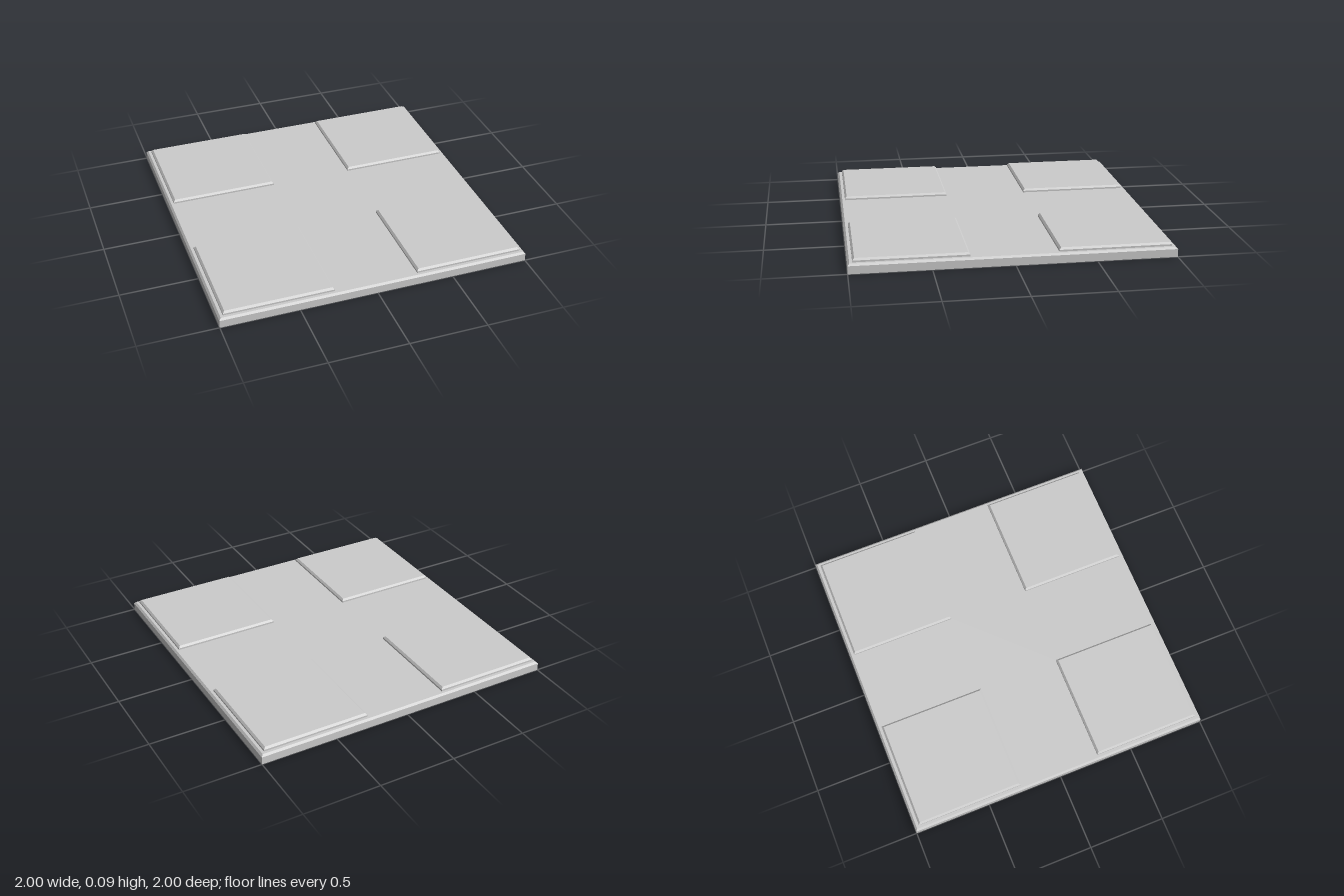
import * as THREE from 'three';

const material = new THREE.MeshStandardMaterial({ color: 0xcccccc, flatShading: true });

// Square slab standing on y = 0 whose top edges are chamfered
function chamferedSlab(name, size, height, inset, drop) {
  const geometry = new THREE.BoxGeometry(size, height, size, 1, 2, 1);
  const p = geometry.attributes.position;
  const shrink = (size - 2 * inset) / size;
  for (let i = 0; i < p.count; i++) {
    const y = p.getY(i);
    if (y > height / 4) {
      p.setXYZ(i, p.getX(i) * shrink, height, p.getZ(i) * shrink);
    } else {
      p.setY(i, y < -height / 4 ? 0 : height - drop);
    }
  }
  geometry.computeVertexNormals();
  const mesh = new THREE.Mesh(geometry, material);
  mesh.name = name;
  return mesh;
}

export function createModel() {
  const model = new THREE.Group();
  model.name = 'tile';

  // Base plate
  model.add(chamferedSlab('basePlate', 2, 0.062, 0.012, 0.012));

  // Raised pad in each corner
  for (const [x, side] of [[1, 'Left'], [-1, 'Right']]) {
    for (const [z, end] of [[1, 'front'], [-1, 'back']]) {
      const pad = chamferedSlab(`${end}${side}Pad`, 0.7, 0.023, 0.012, 0.012);
      pad.position.set(x * 0.62, 0.062, z * 0.62);
      model.add(pad);
    }
  }
  return model;
}
